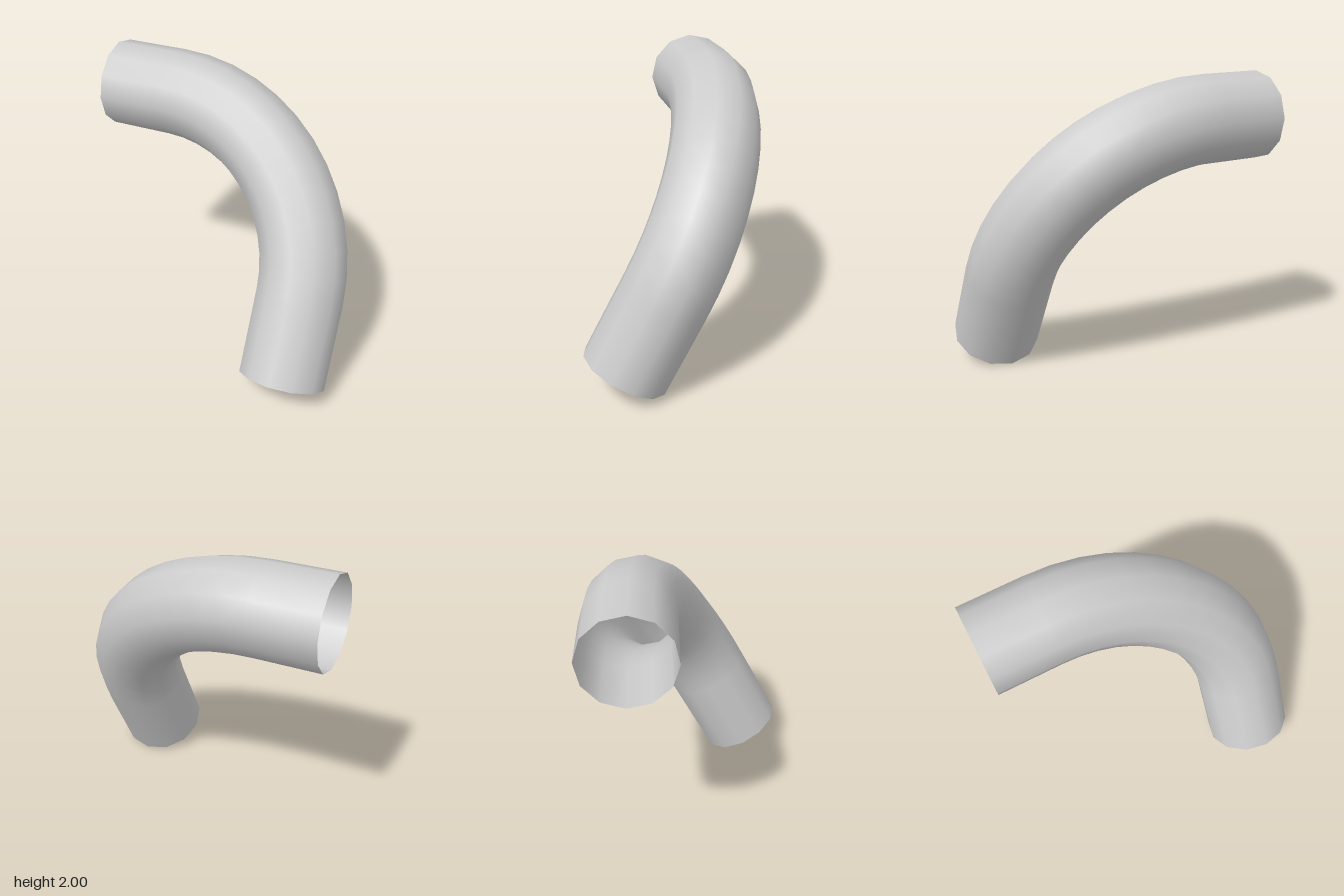
import * as THREE from 'three';

const PIPE_R = 0.3;    // pipe radius
const BEND_R = 1.185;  // centre-line radius of the elbow
const SIDES = 12;
const LOWER = 0.575;   // straight length below the elbow
const UPPER = 0.445;   // straight length beside the elbow
const END_X = 0.665;   // centre line of the lower leg

export function createModel() {
  const model = new THREE.Group();
  model.name = 'bentPipe';
  const material = new THREE.MeshStandardMaterial({ color: 0xcccccc, side: THREE.DoubleSide });

  // The pipe is laid out in a flat plane, which then leans backwards
  const pipe = new THREE.Group();
  pipe.name = 'pipe';
  pipe.rotation.x = THREE.MathUtils.degToRad(-27.5);
  pipe.position.set(0, 0.14, 0.42);
  model.add(pipe);

  const add = (name, geometry, x, y) => {
    const mesh = new THREE.Mesh(geometry, material);
    mesh.name = name;
    mesh.position.set(x, y, 0);
    pipe.add(mesh);
  };
  const straight = (length) =>
    new THREE.CylinderGeometry(PIPE_R, PIPE_R, length, SIDES, 1, true);

  // Open straight ends
  add('lowerLeg', straight(LOWER), END_X, LOWER / 2);
  add('upperLeg', straight(UPPER).rotateZ(Math.PI / 2),
    END_X - BEND_R - UPPER / 2, LOWER + BEND_R);

  // Quarter-turn elbow joining them
  add('elbow', new THREE.TorusGeometry(BEND_R, PIPE_R, SIDES, 12, Math.PI / 2),
    END_X - BEND_R, LOWER);

  return model;
}
